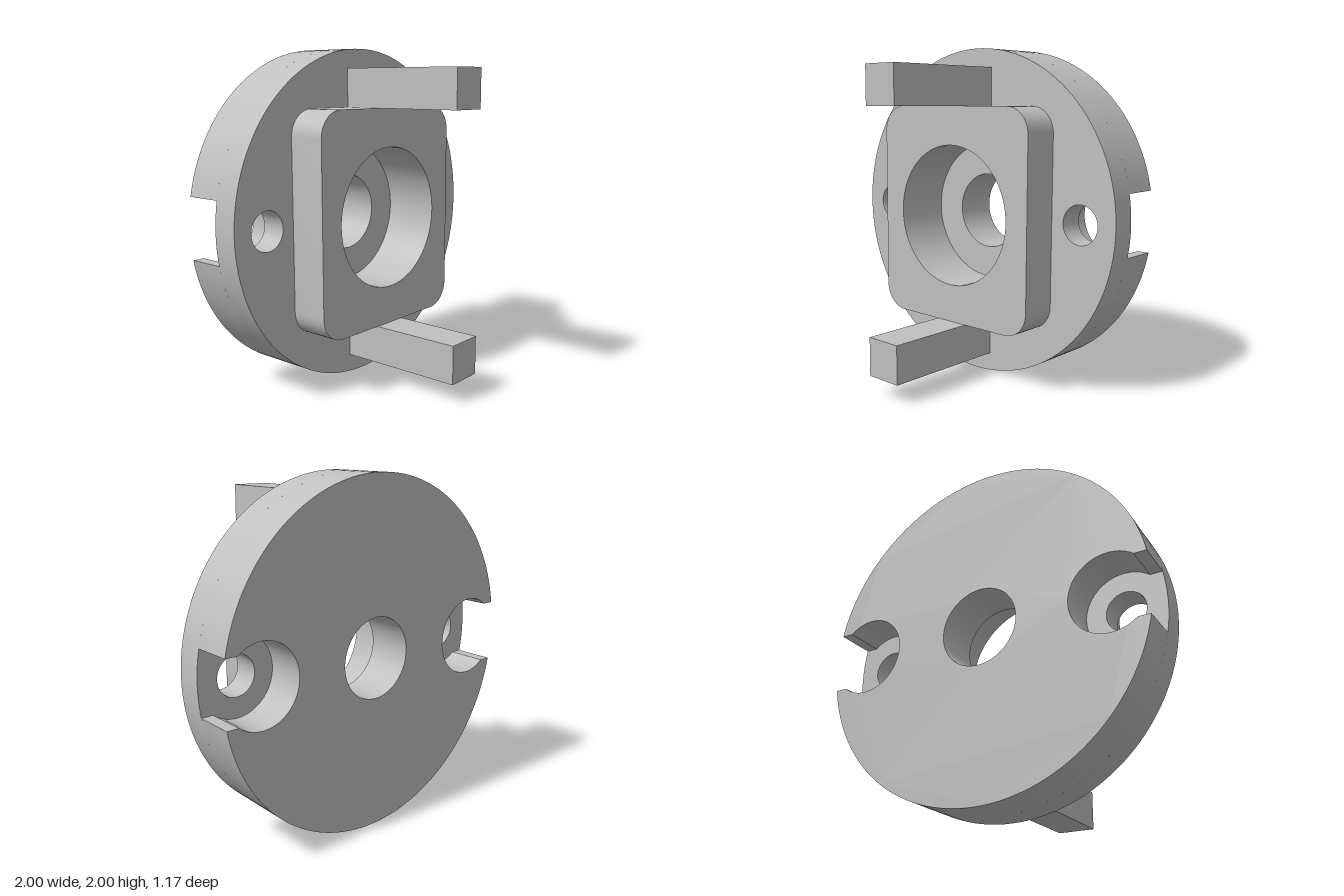
import * as THREE from 'three';
import { toCreasedNormals } from 'three/addons/utils/BufferGeometryUtils.js';

// Key depths along z
const BACK = -0.585, POCKET = -0.355, BORE = -0.316, DISC = -0.2, PLATE = 0.03, PIN = 0.585;
// Radii and positions (disc axis at y = 1)
const HOLE = 0.232, BORE_R = 0.425, BOLT = 0.115, POCKET_R = 0.23, SLOT = 0.18, BOLT_X = 0.77;

// Points on an arc, both ends included
function arc(cx, cy, r, a0, a1, n) {
  return Array.from({ length: n + 1 }, (_, i) => {
    const a = a0 + (a1 - a0) * i / n;
    return new THREE.Vector2(cx + r * Math.cos(a), cy + r * Math.sin(a));
  });
}
const circle = (cx, r, n = 64) => arc(cx, 1, r, 0, Math.PI * 2, n).slice(0, -1);

// Rounded rectangle, counter-clockwise
function roundedRect(hw, hh, r) {
  const corners = [[1, 1], [-1, 1], [-1, -1], [1, -1]];
  return corners.flatMap(([sx, sy], i) =>
    arc(sx * (hw - r), 1 + sy * (hh - r), r, i * Math.PI / 2, (i + 1) * Math.PI / 2, 12));
}

// Flat face with holes, looking to the front or to the back
function face(outline, holes, z, toBack = false) {
  const shape = new THREE.Shape(outline);
  shape.holes = holes.map((h) => new THREE.Path(h));
  const geo = new THREE.ShapeGeometry(shape);
  if (toBack) geo.rotateY(Math.PI);
  return geo.translate(0, 0, z);
}

// Wall following a closed counter-clockwise outline; inward for bores
function wall(outline, z0, z1, inward = false) {
  const pts = inward ? [...outline].reverse() : outline;
  const pos = [];
  pts.forEach((p, i) => {
    const q = pts[(i + 1) % pts.length];
    pos.push(p.x, p.y, z0, q.x, q.y, z0, q.x, q.y, z1);
    pos.push(p.x, p.y, z0, q.x, q.y, z1, p.x, p.y, z1);
  });
  const geo = new THREE.BufferGeometry();
  geo.setAttribute('position', new THREE.Float32BufferAttribute(pos, 3));
  return toCreasedNormals(geo, 0.5);
}

export function createModel() {
  const model = new THREE.Group();
  model.name = 'flange';
  const grey = new THREE.MeshStandardMaterial({ color: 0xc0c0c0 });
  grey.name = 'grey';
  const add = (name, geo) => {
    const mesh = new THREE.Mesh(geo, grey);
    mesh.name = name;
    model.add(mesh);
    return mesh;
  };

  const PI = Math.PI, rimA = Math.asin(SLOT), slotA = Math.asin(SLOT / POCKET_R);
  const rim = circle(0, 1, 128);
  const hole = circle(0, HOLE), bore = circle(0, BORE_R, 96);
  const bolts = [-1, 1].map((s) => circle(s * BOLT_X, BOLT, 40));
  const plate = roundedRect(0.577, 0.655, 0.154);

  // Back outline of the disc, with a keyhole-like pocket open at each side
  const backOutline = [
    ...arc(0, 1, 1, rimA, PI - rimA, 60),
    ...arc(-BOLT_X, 1, POCKET_R, PI - slotA, slotA - PI, 48),
    ...arc(0, 1, 1, PI + rimA, 2 * PI - rimA, 60),
    ...arc(BOLT_X, 1, POCKET_R, -slotA, slotA - 2 * PI, 48),
  ];

  // Disc
  add('discBack', face(backOutline, [hole], BACK, true));
  add('discBackRimAndPockets', wall(backOutline, BACK, POCKET));
  add('discFrontRim', wall(rim, POCKET, DISC));
  add('discFront', face(rim, [plate, ...bolts], DISC));

  // Pocket floors and bolt holes
  [-1, 1].forEach((s, i) => {
    const turn = s > 0 ? 0 : PI;
    const floor = [
      ...arc(0, 1, 1, turn - rimA, turn + rimA, 8),
      ...arc(s * BOLT_X, 1, POCKET_R, turn + slotA, turn + 2 * PI - slotA, 48),
    ];
    // The back-facing turn mirrors x, so each floor lands on the other side
    add(s > 0 ? 'rightPocketFloor' : 'leftPocketFloor', face(floor, [bolts[i]], POCKET, true));
    add(s > 0 ? 'leftBoltHole' : 'rightBoltHole', wall(bolts[i], POCKET, DISC, true));
  });

  // Raised square plate with stepped bore
  add('plateFront', face(plate, [bore], PLATE));
  add('plateSides', wall(plate, DISC, PLATE));
  add('boreWall', wall(bore, BORE, PLATE, true));
  add('boreFloor', face(bore, [hole], BORE));
  add('centreHole', wall(hole, BACK, BORE, true));

  // Square pins above and below the plate
  for (const s of [1, -1]) {
    const pin = add(s > 0 ? 'upperPin' : 'lowerPin', new THREE.BoxGeometry(0.23, 0.23, PIN - DISC));
    pin.position.set(0, 1 + s * 0.77, (PIN + DISC) / 2);
  }
  return model;
}
